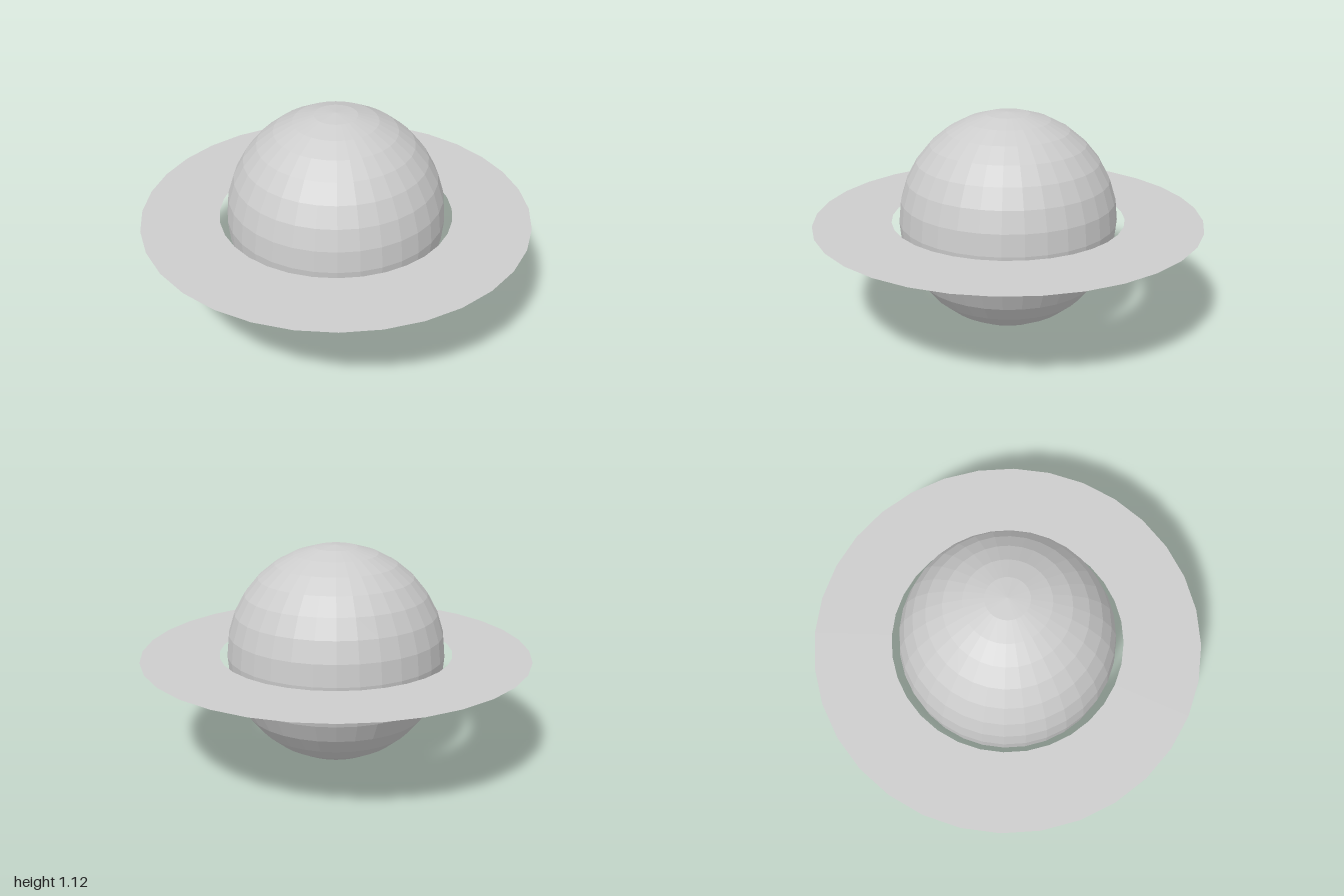
import * as THREE from 'three';

const RADIUS = 0.56;
const SIDES = 32;

export function createModel() {
  const model = new THREE.Group();
  model.name = 'ringedPlanet';

  const paleGrey = new THREE.MeshStandardMaterial({
    color: 0xcccccc, flatShading: true, side: THREE.DoubleSide,
  });
  paleGrey.name = 'pale grey';

  // Faceted globe
  const globe = new THREE.Mesh(new THREE.SphereGeometry(RADIUS, SIDES, SIDES / 2), paleGrey);
  globe.name = 'globe';
  globe.position.y = RADIUS;

  // Flat ring around the equator
  const ring = new THREE.Mesh(new THREE.RingGeometry(0.6, 1, SIDES).rotateX(-Math.PI / 2), paleGrey);
  ring.name = 'ring';
  ring.position.y = RADIUS;

  model.add(globe, ring);
  return model;
}
